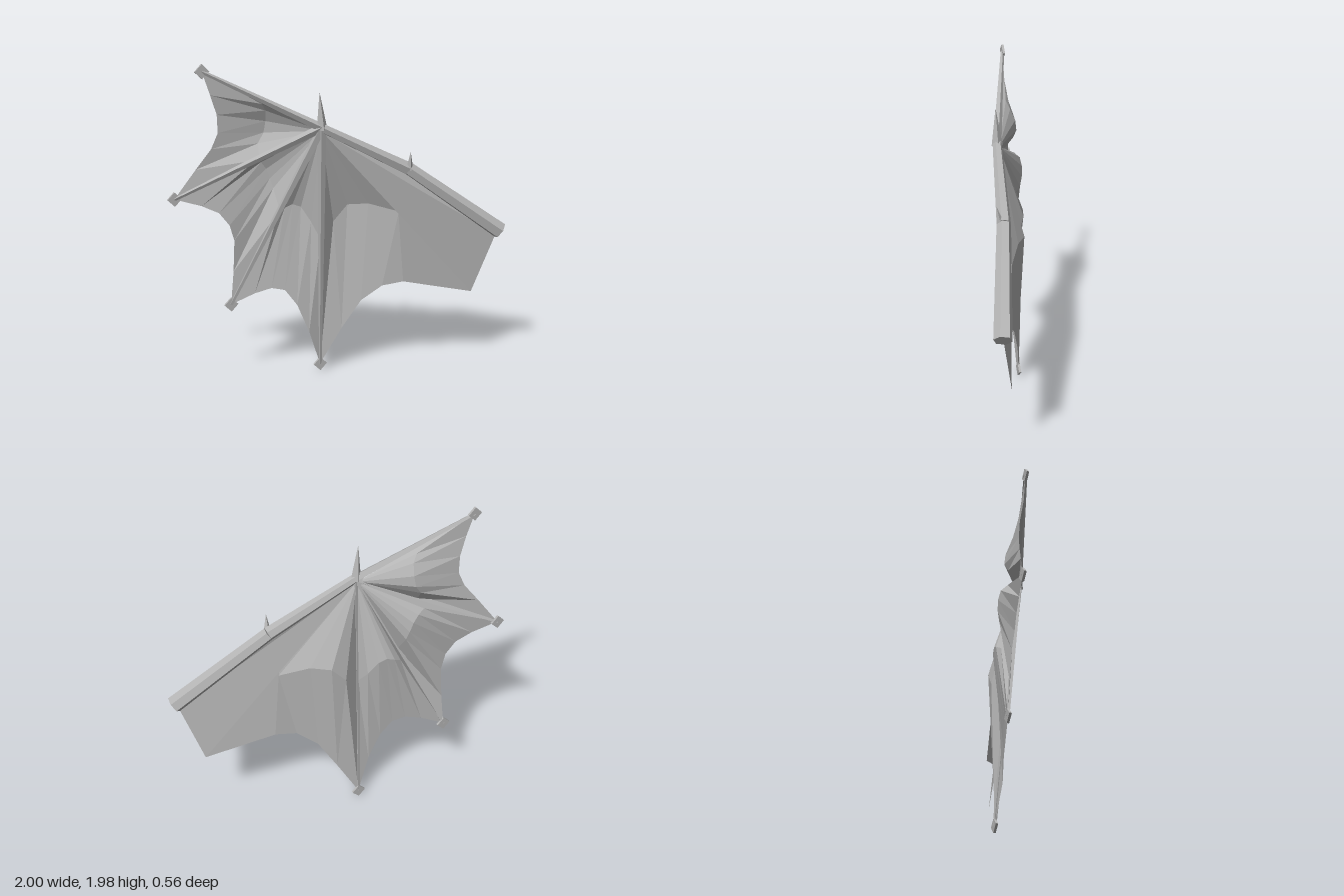
import * as THREE from 'three';

const V = (a) => new THREE.Vector3(...a);

export function createModel() {
  const wing = new THREE.Group();
  wing.name = 'wing';
  const grey = new THREE.MeshStandardMaterial({ color: 0xb4b4b4, flatShading: true, side: THREE.DoubleSide });
  grey.name = 'grey';

  function add(name, geometry) {
    const mesh = new THREE.Mesh(geometry, grey);
    mesh.name = name;
    wing.add(mesh);
    return mesh;
  }

  // tapered rod from a to b
  function rod(name, a, b, ra, rb, sides) {
    const from = V(a), dir = V(b).sub(from);
    const mesh = add(name, new THREE.CylinderGeometry(rb, ra, dir.length(), sides));
    mesh.position.copy(from).addScaledVector(dir, 0.5);
    mesh.quaternion.setFromUnitVectors(new THREE.Vector3(0, 1, 0), dir.normalize());
  }

  const shoulder = [0.967, 0.89, 0.225], elbow = [0.4, 1.312, 0.085], wrist = [-0.125, 1.59, 0];
  const tips = [[-0.79, 1.94, -0.19], [-0.955, 1.18, -0.27], [-0.63, 0.485, -0.24], [-0.09, 0.048, -0.13]];

  // arm bones and claws
  rod('upperArm', shoulder, elbow, 0.054, 0.042, 6);
  rod('forearm', elbow, wrist, 0.042, 0.028, 6);
  rod('wristClaw', [-0.125, 1.58, 0], [-0.142, 1.8, 0.006], 0.034, 0.001, 4);
  rod('elbowClaw', [0.4, 1.31, 0.105], [0.395, 1.42, 0.126], 0.024, 0.001, 4);

  // fingers with flat diamond tips
  for (const tip of tips) {
    rod('finger', wrist, tip, 0.026, 0.011, 4);
    const diamond = add('fingerTip', new THREE.BoxGeometry(0.062, 0.062, 0.014));
    diamond.position.set(...tip);
    diamond.rotation.z = Math.PI / 4;
  }

  // skin panel: a fan from the wrist to a billowing ridge, then a strip to the scalloped edge
  const root = [wrist[0], wrist[1] - 0.02, -0.012];
  function skin(name, ridge, edge) {
    const p = [], tri = (...c) => c.forEach((v) => p.push(...v));
    for (let i = 0; i < ridge.length - 1; i++) {
      tri(root, ridge[i], ridge[i + 1]);
      tri(ridge[i], edge[i], edge[i + 1]);
      tri(ridge[i], edge[i + 1], ridge[i + 1]);
    }
    const g = new THREE.BufferGeometry();
    g.setAttribute('position', new THREE.Float32BufferAttribute(p, 3));
    g.computeVertexNormals();
    add(name, g);
  }

  // point along the line from the wrist to a tip
  const along = (tip, t) => root.map((v, i) => v + (tip[i] - v) * t);
  const corner = [0.825, 0.485, 0.14];
  const [f1, f2, f3, f4] = tips;

  // flat skin beneath the arm
  skin('armSkin',
    [along(elbow, 0.97), along([0.94, 0.86, 0.215], 0.55), along(corner, 0.5)],
    [elbow, [0.945, 0.865, 0.215], corner]);

  skin('innerSkin',
    [along(corner, 0.5), [0.37, 1.03, 0.03], [0.2, 1.08, -0.05], [0.09, 1.07, -0.115], [0, 0.97, -0.125], along(f4, 0.45)],
    [corner, [0.4, 0.578, 0.04], [0.27, 0.56, 0.01], [0.15, 0.465, -0.04], [0.04, 0.28, -0.09], f4]);

  skin('secondSkin',
    [along(f4, 0.45), [-0.14, 0.98, -0.14], [-0.19, 1.07, -0.18], [-0.24, 1.09, -0.19], [-0.29, 1.07, -0.195], [-0.34, 1.04, -0.18], along(f3, 0.5)],
    [f4, [-0.17, 0.28, -0.11], [-0.24, 0.46, -0.13], [-0.31, 0.56, -0.155], [-0.39, 0.578, -0.175], [-0.49, 0.55, -0.2], f3]);

  skin('thirdSkin',
    [along(f3, 0.45), [-0.36, 1.2, -0.2], [-0.375, 1.26, -0.215], [-0.395, 1.32, -0.22], [-0.43, 1.365, -0.215], [-0.48, 1.38, -0.19], along(f2, 0.45)],
    [f3, [-0.615, 0.7, -0.225], [-0.61, 0.9, -0.21], [-0.64, 1.0, -0.205], [-0.7, 1.08, -0.215], [-0.8, 1.13, -0.235], f2]);

  skin('outerSkin',
    [along(f2, 0.42), [-0.46, 1.49, -0.18], [-0.42, 1.55, -0.19], [-0.41, 1.62, -0.18], [-0.42, 1.69, -0.15], [-0.45, 1.735, -0.13], along(f1, 0.5)],
    [f2, [-0.83, 1.355, -0.235], [-0.74, 1.475, -0.21], [-0.7, 1.57, -0.2], [-0.705, 1.68, -0.195], [-0.745, 1.8, -0.185], f1]);

  return wing;
}
